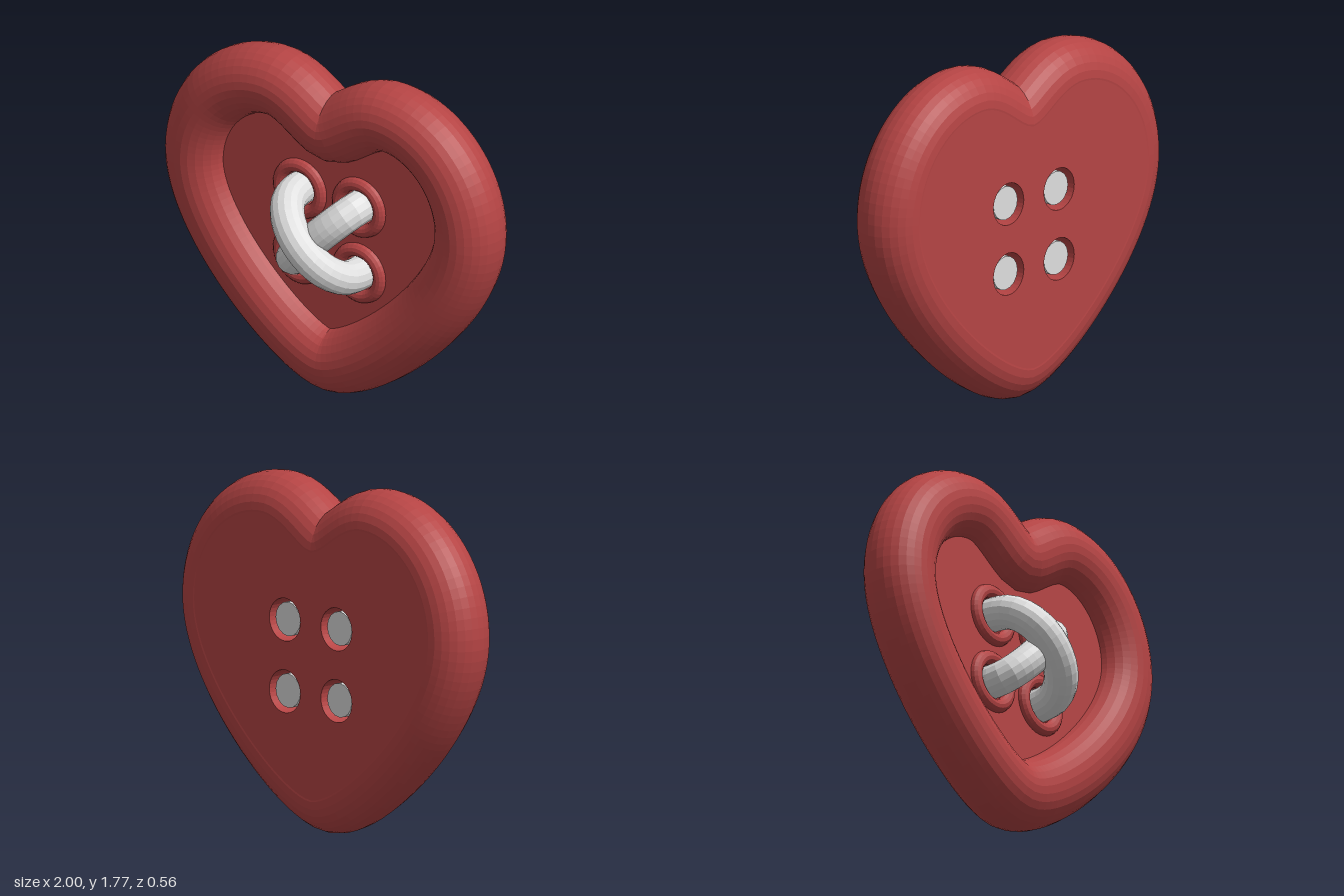
import * as THREE from 'three';

const R = 0.178; // rim thickness radius
const RIM_Z = -0.1;
const FLOOR_Z = -0.05;
const BACK_Z = -0.277;
const HOLE_X = 0.18, HOLE_Y = 0.18, MID_Y = 0.89;

// Right half of the heart centreline, bottom to notch: bezier control points
const HALF = [
  [[0, 0.178], [0.2, 0.178], [0.822, 0.69], [0.822, 1.09]],
  [[0.822, 1.09], [0.822, 1.37], [0.6, 1.595], [0.35, 1.595]],
  [[0.35, 1.595], [0.2, 1.595], [0.08, 1.44], [0, 1.44]],
];

function heartPath() {
  const path = new THREE.CurvePath();
  const add = (pts, side) => path.add(new THREE.CubicBezierCurve3(
    ...pts.map(([x, y]) => new THREE.Vector3(x * side, y, 0))));
  HALF.forEach((pts) => add(pts, 1));
  [...HALF].reverse().forEach((pts) => add([...pts].reverse(), -1));
  return path;
}

export function createModel() {
  const group = new THREE.Group();
  const red = new THREE.MeshStandardMaterial({ name: 'button red', color: 0xb54444, flatShading: true });
  const white = new THREE.MeshStandardMaterial({ name: 'thread white', color: 0xdedede, flatShading: true });

  const add = (name, geometry, material, x = 0, y = 0, z = 0) => {
    const mesh = new THREE.Mesh(geometry, material);
    mesh.name = name;
    mesh.position.set(x, y, z);
    group.add(mesh);
    return mesh;
  };

  // Rounded heart rim
  const path = heartPath();
  add('rim', new THREE.TubeGeometry(path, 120, R, 28, true), red, 0, 0, RIM_Z);

  // Plate with four thread holes
  const outline = path.getSpacedPoints(120).slice(0, -1).map((p) => new THREE.Vector2(p.x, p.y));
  const plate = new THREE.Shape(outline);
  const corners = [[-1, -1], [1, -1], [-1, 1], [1, 1]];
  for (const [sx, sy] of corners) {
    const hole = new THREE.Path();
    hole.absarc(sx * HOLE_X, MID_Y + sy * HOLE_Y, 0.108, 0, Math.PI * 2, true);
    plate.holes.push(hole);
  }
  add('plate', new THREE.ExtrudeGeometry(plate, {
    depth: FLOOR_Z - BACK_Z, bevelEnabled: false, curveSegments: 16,
  }), red, 0, 0, BACK_Z);

  // Raised ring around each hole
  for (const [sx, sy] of corners) {
    add('holeRing', new THREE.TorusGeometry(0.125, 0.035, 12, 36), red,
      sx * HOLE_X, MID_Y + sy * HOLE_Y, FLOOR_Z);
  }

  // Two crossed threads arching between opposite holes
  const endZ = -0.255, baseZ = -0.01, threadR = 0.086;
  const addThread = (name, slope, peakZ) => {
    const at = (s, z) => new THREE.Vector3(s * HOLE_X, MID_Y + slope * s * HOLE_Y, z);
    const points = [at(-1, endZ), at(-1, -0.13)];
    for (let i = 0; i <= 8; i++) {
      const a = Math.PI * (1 - i / 8);
      points.push(at(Math.cos(a), baseZ + (peakZ - baseZ) * Math.sin(a)));
    }
    points.push(at(1, -0.13), at(1, endZ));
    const curve = new THREE.CatmullRomCurve3(points);
    add(name, new THREE.TubeGeometry(curve, 28, threadR, 16), white);
    for (const s of [-1, 1]) {
      const p = at(s, endZ);
      add(name + 'End', new THREE.CircleGeometry(threadR, 16), white, p.x, p.y, p.z).rotation.y = Math.PI;
    }
  };
  addThread('upperThread', -1, 0.194);
  addThread('lowerThread', 1, 0.1);

  return group;
}
